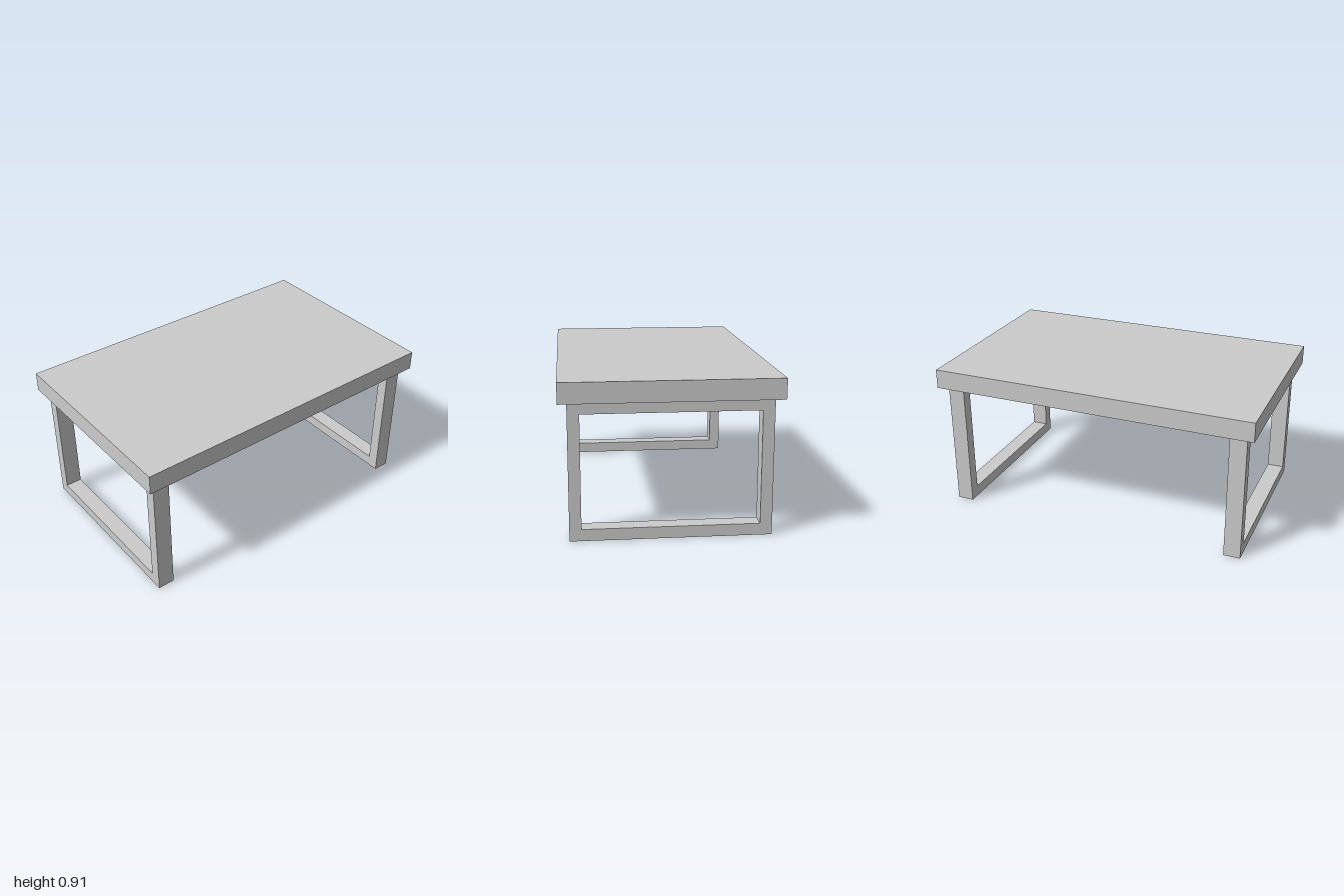
import * as THREE from 'three';

const LEG_TOP = 0.793, TOP = 0.912;

// Thin tray turned upside down: a box without its bottom face
function openBottomBox(w, h, d) {
  const geo = new THREE.BoxGeometry(w, h, d);
  const index = Array.from(geo.index.array);
  index.splice(18, 6); // the fourth face is the bottom
  geo.setIndex(index);
  geo.clearGroups();
  return geo;
}

// Rectangular loop leg, extruded along z and centred on it
function loopLeg(halfW, height, bar, depth) {
  const rect = (Type, x, y0, y1) => {
    const s = new Type();
    s.moveTo(-x, y0);
    s.lineTo(x, y0);
    s.lineTo(x, y1);
    s.lineTo(-x, y1);
    s.closePath();
    return s;
  };
  const outline = rect(THREE.Shape, halfW, 0, height);
  outline.holes.push(rect(THREE.Path, halfW - bar, bar, height - bar));
  const geo = new THREE.ExtrudeGeometry(outline, { depth, bevelEnabled: false });
  return geo.translate(0, 0, -depth / 2);
}

export function createModel() {
  const model = new THREE.Group();
  model.name = 'table';
  const grey = new THREE.MeshStandardMaterial({ color: 0xcccccc });
  const thin = new THREE.MeshStandardMaterial({ color: 0xcccccc, side: THREE.DoubleSide });

  // Tabletop, hollow from below
  const top = new THREE.Mesh(openBottomBox(1.244, TOP - LEG_TOP, 2), thin);
  top.name = 'tabletop';
  top.position.y = (TOP + LEG_TOP) / 2;
  model.add(top);

  // One loop leg near each end
  const legGeo = loopLeg(0.572, LEG_TOP, 0.068, 0.102);
  for (const [name, z] of [['frontLeg', 0.9], ['backLeg', -0.9]]) {
    const leg = new THREE.Mesh(legGeo, grey);
    leg.name = name;
    leg.position.z = z;
    model.add(leg);
  }
  return model;
}
